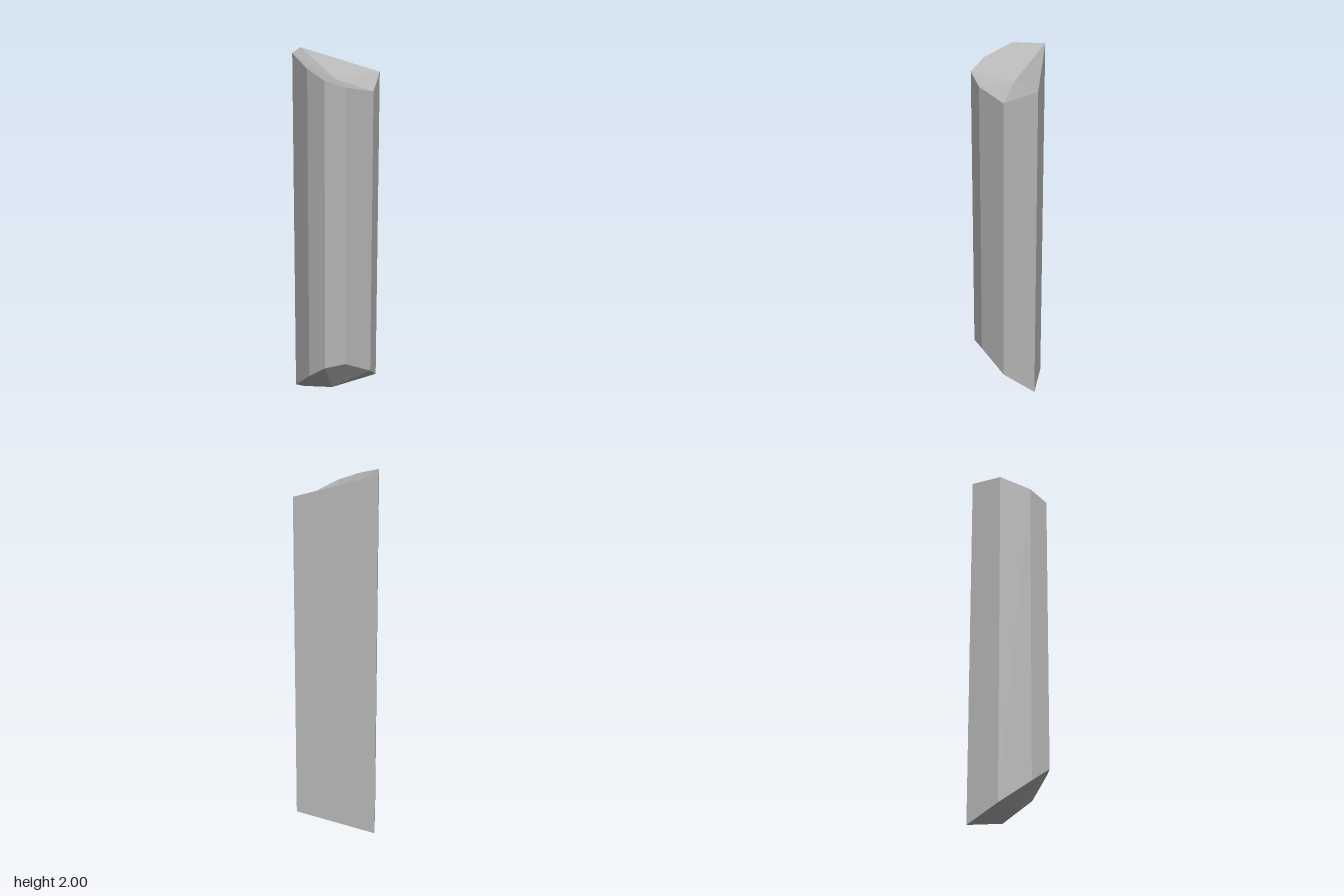
import * as THREE from 'three';

// Corners of the prism, anticlockwise seen from above: x, z, bottom height, top height
const corners = [
  [-0.215, -0.182, 0.0, 2.0],
  [-0.215, -0.01, 0.095, 2.0],
  [-0.103, 0.125, 0.225, 1.95],
  [0.0, 0.18, 0.31, 1.905],
  [0.102, 0.125, 0.32, 1.862],
  [0.215, -0.01, 0.228, 1.82],
  [0.215, -0.182, 0.125, 1.887],
];
const topCentre = [0.012, 1.865, -0.045];
const bottomCentre = [0, 0.11, 0.007];

function facets(name, triangles, material) {
  const geometry = new THREE.BufferGeometry();
  geometry.setAttribute('position', new THREE.Float32BufferAttribute(triangles.flat(), 3));
  geometry.computeVertexNormals();
  const mesh = new THREE.Mesh(geometry, material);
  mesh.name = name;
  return mesh;
}

export function createModel() {
  const group = new THREE.Group();
  group.name = 'crystalShard';
  const stone = new THREE.MeshStandardMaterial({ color: 0xb4b4b4, flatShading: true });
  stone.name = 'grey stone';

  const sides = [], top = [], bottom = [];
  corners.forEach(([x, z, low, high], i) => {
    const [nx, nz, nLow, nHigh] = corners[(i + 1) % corners.length];
    const a = [x, low, z], b = [nx, nLow, nz];
    const c = [nx, nHigh, nz], d = [x, high, z];
    sides.push(...a, ...b, ...c, ...a, ...c, ...d);
    top.push(...d, ...c, ...topCentre); // dished cap
    bottom.push(...b, ...a, ...bottomCentre); // bulging broken end
  });

  group.add(
    facets('shaft', sides, stone),
    facets('topFacets', top, stone),
    facets('bottomFacets', bottom, stone),
  );
  return group;
}
